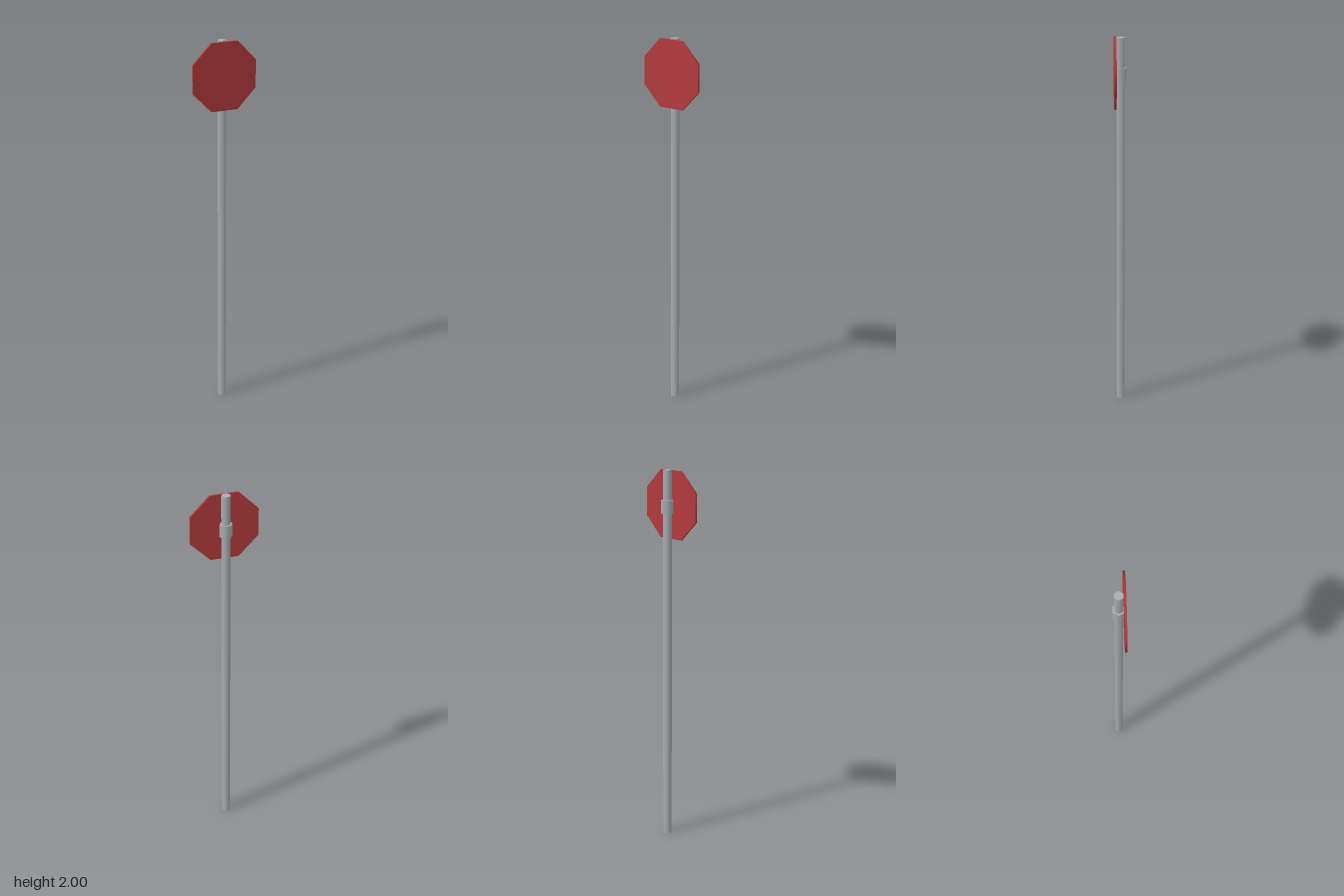
import * as THREE from 'three';

export function createModel() {
  const group = new THREE.Group();
  const steel = new THREE.MeshStandardMaterial({ color: 0xa9adb2 });
  steel.name = 'steel grey';
  const red = new THREE.MeshStandardMaterial({ color: 0xb33a3c });
  red.name = 'sign red';

  // Smooth-sided prism with a flat side facing front
  function prism(name, radius, height, sides, material) {
    const geometry = new THREE.CylinderGeometry(radius, radius, height, sides, 1, false, Math.PI / sides);
    const mesh = new THREE.Mesh(geometry, material);
    mesh.name = name;
    group.add(mesh);
    return mesh;
  }

  // Hexagonal post and the clamp that holds the plate
  const postZ = -0.0035;
  prism('post', 0.024, 2, 6, steel).position.set(0, 1, postZ);
  prism('clamp', 0.033, 0.068, 6, steel).position.set(0, 1.813, postZ);

  // Octagonal plate, turned upright to face the front
  const plate = prism('signPlate', 0.19, 0.011, 8, red);
  plate.rotation.x = Math.PI / 2;
  plate.position.set(0, 1.82, 0.0255);

  return group;
}
